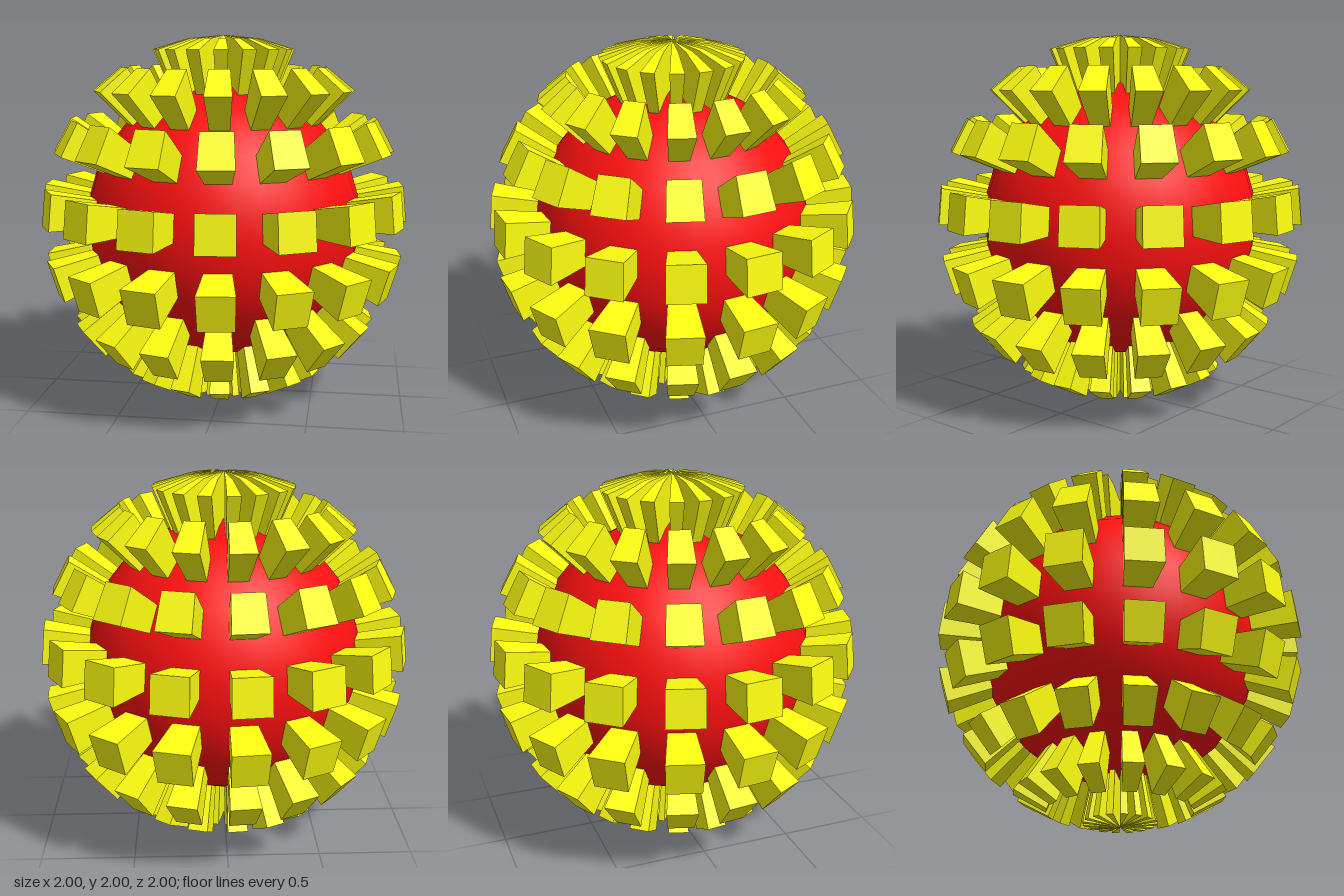
import * as THREE from 'three';

const SEGMENTS = 32, RINGS = 16; // longitude and latitude grid of the ball
const INNER = 0.75, OUTER = 1;

// Point on the grid: ring 0 is the top pole, column 0 faces +z
function gridPoint(ring, column, radius) {
  const p = new THREE.Vector3().setFromSphericalCoords(
    radius, ring * Math.PI / RINGS, column * 2 * Math.PI / SEGMENTS);
  return p;
}

// A one-column patch of the grid, pushed outward from the ball into a block
function blockGeometry(first, last) {
  const positions = [];
  const triangle = (a, b, c) => {
    if (new THREE.Triangle(a, b, c).getArea() > 1e-7) {
      for (const p of [a, b, c]) positions.push(p.x, p.y, p.z);
    }
  };
  const quad = (a, b, c, d) => { triangle(a, b, c); triangle(a, c, d); };
  const corners = (ring) => ({
    il: gridPoint(ring, 0, INNER), ir: gridPoint(ring, 1, INNER),
    ol: gridPoint(ring, 0, OUTER), or: gridPoint(ring, 1, OUTER),
  });

  for (let ring = first; ring < last; ring++) {
    const u = corners(ring), d = corners(ring + 1);
    quad(u.ol, d.ol, d.or, u.or); // outer face
    quad(u.il, d.il, d.ol, u.ol); // left wall
    quad(u.or, d.or, d.ir, u.ir); // right wall
  }
  const top = corners(first), bottom = corners(last);
  quad(top.il, top.ol, top.or, top.ir);
  quad(bottom.ir, bottom.or, bottom.ol, bottom.il);

  const geometry = new THREE.BufferGeometry();
  geometry.setAttribute('position', new THREE.Float32BufferAttribute(positions, 3));
  geometry.computeVertexNormals();
  return geometry;
}

export function createModel() {
  const model = new THREE.Group();
  model.name = 'studdedBall';
  const red = new THREE.MeshStandardMaterial({ color: 0xff1010 });
  const yellow = new THREE.MeshStandardMaterial({ color: 0xffff10, flatShading: true });

  // Smooth core
  const core = new THREE.Mesh(new THREE.SphereGeometry(INNER, SEGMENTS, RINGS), red);
  core.name = 'core';
  core.position.y = OUTER;
  model.add(core);

  // Bands of blocks: a wide cap of wedges on top, then every other ring down to the bottom pole
  const bands = [[0, 2], [3, 4], [5, 6], [7, 8], [9, 10], [11, 12], [13, 14], [15, 16]];
  bands.forEach(([first, last], index) => {
    const band = new THREE.Group();
    band.name = first === 0 ? 'topCap' : last === RINGS ? 'bottomCap' : `blockRing${index}`;
    band.position.y = OUTER;
    const geometry = blockGeometry(first, last);
    for (let column = 0; column < SEGMENTS; column += 2) {
      const block = new THREE.Mesh(geometry, yellow);
      block.name = 'block';
      block.rotation.y = column * 2 * Math.PI / SEGMENTS;
      band.add(block);
    }
    model.add(band);
  });
  return model;
}
